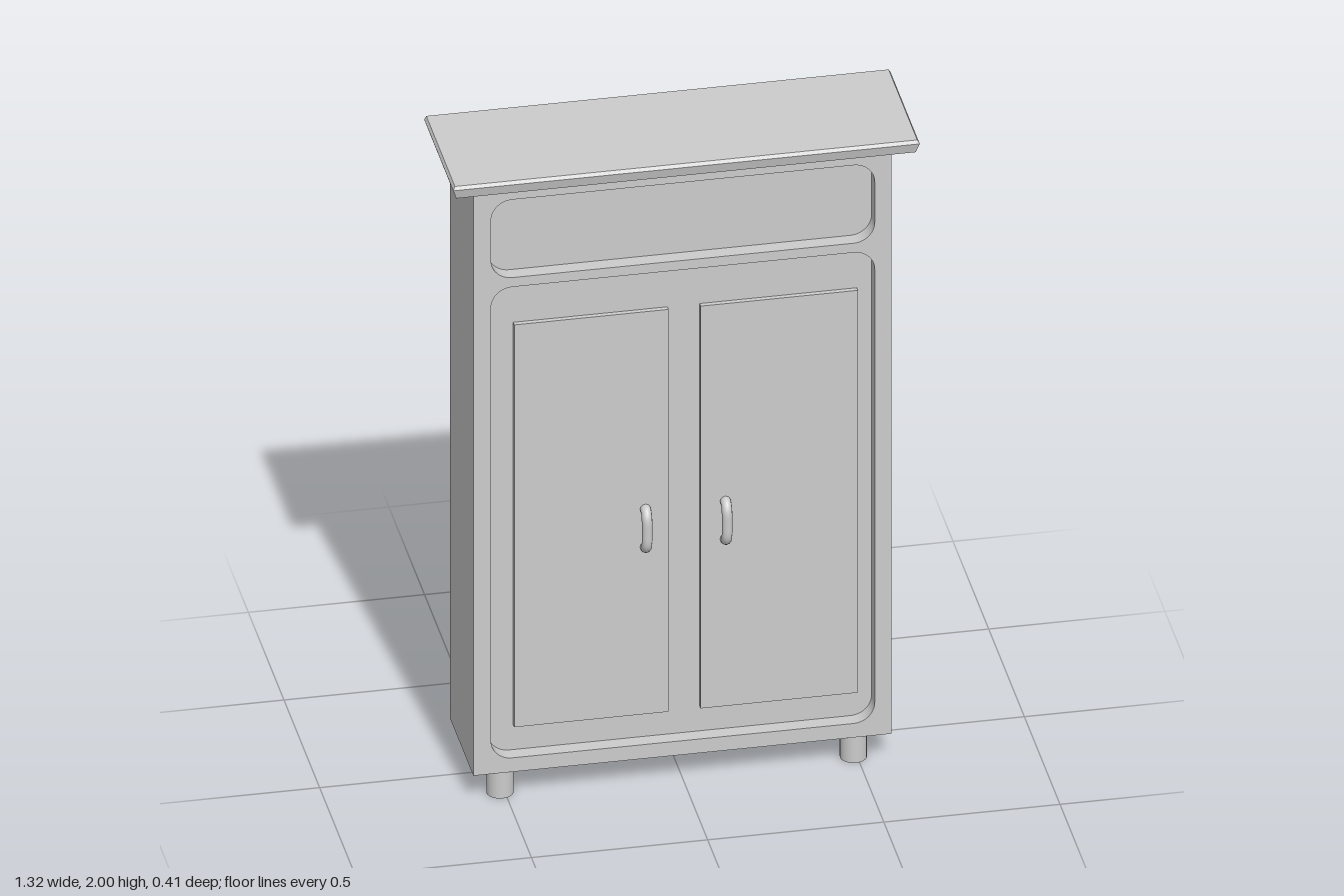
import * as THREE from 'three';

const mat = new THREE.MeshStandardMaterial({ color: 0xcccccc, side: THREE.DoubleSide });
const flat = new THREE.MeshStandardMaterial({ color: 0xcccccc, side: THREE.DoubleSide, flatShading: true });

function add(parent, name, geometry, material = flat) {
  const mesh = new THREE.Mesh(geometry, material);
  mesh.name = name;
  parent.add(mesh);
  return mesh;
}

// Rectangle outline, optionally with rounded corners, drawn counter-clockwise
function rect(x0, x1, y0, y1, r = 0) {
  const s = new THREE.Shape();
  if (!r) {
    return s.moveTo(x0, y0).lineTo(x1, y0).lineTo(x1, y1).lineTo(x0, y1).closePath();
  }
  const q = Math.PI / 2;
  s.absarc(x1 - r, y0 + r, r, -q, 0);
  s.absarc(x1 - r, y1 - r, r, 0, q);
  s.absarc(x0 + r, y1 - r, r, q, 2 * q);
  s.absarc(x0 + r, y0 + r, r, 2 * q, 3 * q);
  return s.closePath();
}

// Flat sheet at depth z with cut-outs
function sheet(outline, z, holes = []) {
  const s = outline.clone();
  s.holes = holes;
  return new THREE.ShapeGeometry(s, 6).translate(0, 0, z);
}

// Strips of quads joining successive rows of points
function loft(rows) {
  const n = rows[0].length;
  const index = [];
  for (let j = 0; j < rows.length - 1; j++) {
    for (let i = 0; i < n - 1; i++) {
      const a = j * n + i, b = a + n;
      index.push(a, b, a + 1, a + 1, b, b + 1);
    }
  }
  const g = new THREE.BufferGeometry();
  g.setAttribute('position', new THREE.Float32BufferAttribute(rows.flat(2), 3));
  g.setIndex(index);
  g.computeVertexNormals();
  return g;
}

// Wall following an outline between two depths, facing into the outline when zA > zB
function wall(outline, zA, zB) {
  const pts = outline.getPoints(6);
  return loft([zB, zA].map(z => pts.map(p => [p.x, p.y, z])));
}

export function createModel() {
  const model = new THREE.Group();
  model.name = 'cabinet';

  const X0 = -0.597, X1 = 0.59, Y0 = 0.085, Y1 = 1.985;
  const front = 0.165, back = -0.16, recess = 0.12, door = 0.135;

  // Front frame with two rounded openings
  const drawer = rect(-0.547, 0.542, 1.67, 1.92, 0.06);
  const opening = rect(-0.547, 0.542, 0.13, 1.64, 0.06);
  add(model, 'frontFrame', sheet(rect(X0, X1, Y0, Y1), front, [drawer, opening]));
  add(model, 'drawerRecessWall', wall(drawer, front, recess));
  add(model, 'doorRecessWall', wall(opening, front, recess));
  add(model, 'drawerPanel', sheet(drawer, recess));

  // Two slightly raised door panels, hollow behind
  const doors = [rect(-0.475, -0.037, 0.21, 1.5), rect(0.054, 0.5, 0.21, 1.5)];
  add(model, 'doorBacking', sheet(opening, recess, doors));
  for (const d of doors) {
    add(model, 'doorEdge', wall(d, recess, door));
    add(model, 'doorPanel', sheet(d, door));
  }

  // Side panels: single sheets, the back and underside stay open
  for (const [x, turn] of [[X0, -1], [X1, 1]]) {
    const side = add(model, 'sidePanel', new THREE.PlaneGeometry(front - back, Y1 - Y0));
    side.rotation.y = turn * Math.PI / 2;
    side.position.set(x, (Y0 + Y1) / 2, (front + back) / 2);
  }

  // Top board with a bevelled rim hanging on the front and sides
  const outline = (x, y, zf) => [[-x, y, -0.204], [-x, y, zf], [x, y, zf], [x, y, -0.204]];
  const top = outline(0.656, 2, 0.198);
  add(model, 'topRim', loft([top, outline(0.662, 1.99, 0.204), outline(0.652, 1.96, 0.196)]));
  add(model, 'topBoard', loft([[top[0], top[3]], [top[1], top[2]]]));

  // Short tubular feet
  for (const x of [-0.513, 0.49]) {
    for (const z of [0.122, -0.129]) {
      add(model, 'foot', new THREE.CylinderGeometry(0.038, 0.038, 0.085, 24, 1, true), mat)
        .position.set(x, 0.0425, z);
    }
  }

  // Bent bar handles
  const path = new THREE.CatmullRomCurve3([
    [0.868, 0.13], [0.867, 0.143], [0.85, 0.157], [0.81, 0.16],
    [0.765, 0.157], [0.748, 0.143], [0.747, 0.13],
  ].map(([y, z]) => new THREE.Vector3(0, y, z)));
  for (const x of [-0.103, 0.124]) {
    add(model, 'handle', new THREE.TubeGeometry(path, 24, 0.015, 12), mat).position.x = x;
  }

  return model;
}
